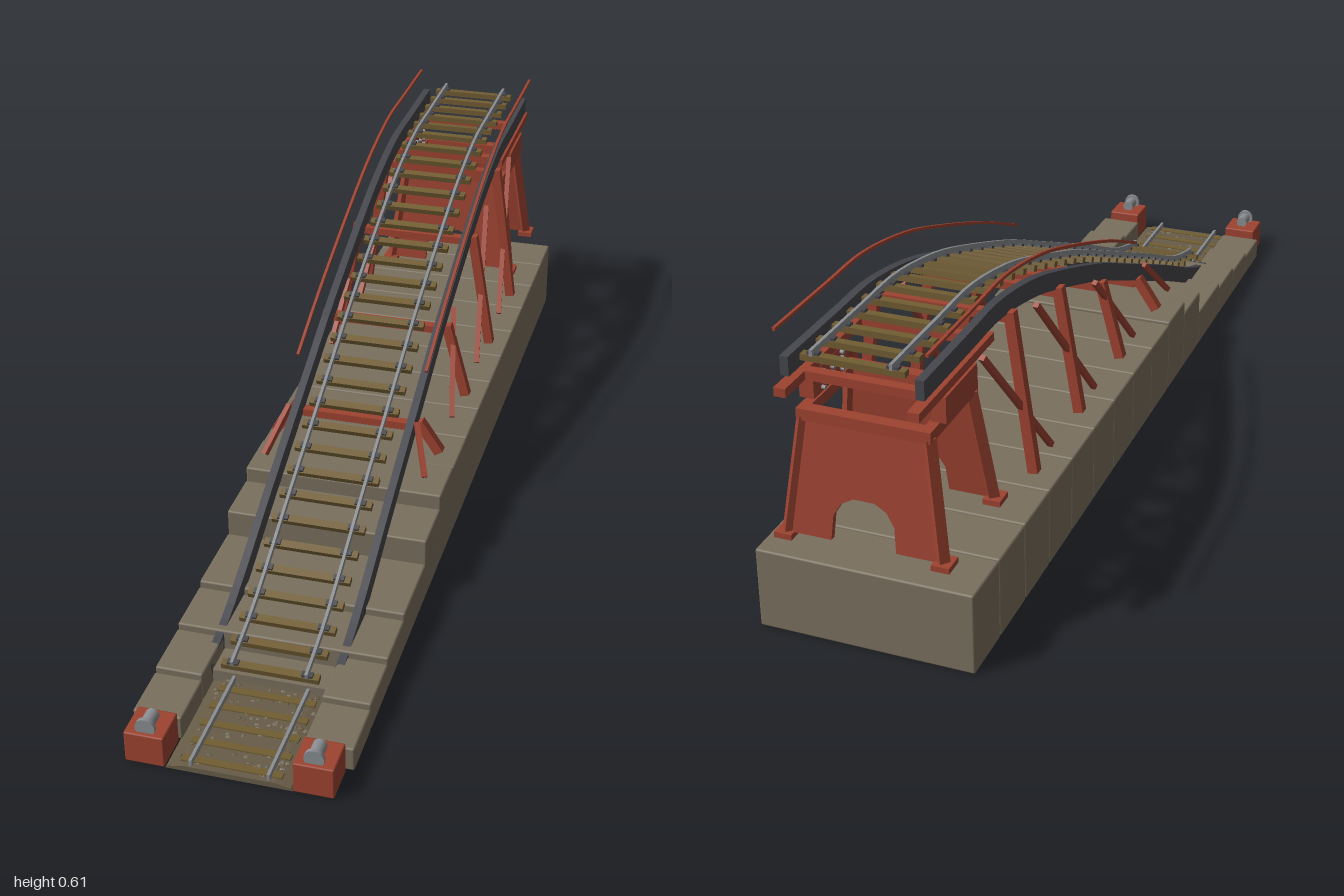
import * as THREE from 'three';
import { RoundedBoxGeometry } from 'three/addons/geometries/RoundedBoxGeometry.js';

export function createModel() {
  const model = new THREE.Group();
  const mat = (name, color) => {
    const m = new THREE.MeshStandardMaterial({ color });
    m.name = name;
    return m;
  };
  const stone = mat('stone', 0x7a705e);
  const red = mat('red oxide steel', 0x9e4331);
  const dark = mat('dark steel', 0x46474d);
  const railGrey = mat('rail grey', 0x8b8e91);
  const wood = mat('timber', 0x715d33);
  const gravel = mat('gravel', 0x675c47);

  const add = (name, geometry, material, x = 0, y = 0, z = 0) => {
    const mesh = new THREE.Mesh(geometry, material);
    mesh.name = name;
    mesh.position.set(x, y, z);
    model.add(mesh);
    return mesh;
  };
  // Box given by its limits on each axis
  const box = (name, m, x0, x1, y0, y1, z0, z1, r = 0) => {
    const [w, h, d] = [x1 - x0, y1 - y0, z1 - z0];
    const g = r ? new RoundedBoxGeometry(w, h, d, 1, r) : new THREE.BoxGeometry(w, h, d);
    add(name, g, m, (x0 + x1) / 2, (y0 + y1) / 2, (z0 + z1) / 2);
  };
  // Square bar between two points
  const bar = (name, m, a, b, w) => {
    const p = new THREE.Vector3(...a), q = new THREE.Vector3(...b);
    const mesh = add(name, new THREE.BoxGeometry(w, w, p.distanceTo(q)), m);
    mesh.position.copy(p).add(q).multiplyScalar(0.5);
    mesh.lookAt(q);
  };

  // Side profile of the ramp: x holds z, y holds height of the girder centre
  const path = new THREE.SplineCurve([
    [0.755, 0.03], [0.65, 0.056], [0.55, 0.094], [0.38, 0.172], [0.2, 0.251], [0.06, 0.312],
    [-0.11, 0.385], [-0.36, 0.475], [-0.5, 0.516], [-0.65, 0.542], [-0.78, 0.543], [-0.975, 0.543],
  ].map(([z, y]) => new THREE.Vector2(z, y)));
  // Curve point moved along its upward normal, with its slope angle
  const at = (u, off) => {
    const p = path.getPointAt(u), t = path.getTangentAt(u);
    return { z: p.x + t.y * off, y: p.y - t.x * off, angle: Math.atan2(t.y, -t.x) };
  };
  // Strip following the ramp, extruded across x
  const strip = (name, m, x, width, off, height, u0 = 0) => {
    const n = 48, top = [], bottom = [];
    for (let i = 0; i <= n; i++) {
      const u = u0 + (1 - u0) * i / n;
      const a = at(u, off + height / 2), b = at(u, off - height / 2);
      top.push(new THREE.Vector2(a.z, a.y));
      bottom.unshift(new THREE.Vector2(b.z, b.y));
    }
    const g = new THREE.ExtrudeGeometry(new THREE.Shape([...top, ...bottom]), { depth: width, bevelEnabled: false });
    g.rotateY(-Math.PI / 2);
    g.translate(width / 2, 0, 0);
    add(name, g, m, x);
  };

  // Stepped stone foundation; the lowest blocks leave room for the track
  const edges = [0.92, 0.805, 0.682, 0.557, 0.383, 0.26, 0.142, 0.017, -0.108, -0.233, -0.358, -0.483, -0.608, -0.732, -0.855, -0.975];
  const heights = [0.05, 0.06, 0.071, 0.083, 0.136, 0.166];
  for (let i = 0; i < edges.length - 1; i++) {
    const h = heights[i] ?? 0.162, z1 = edges[i] - 0.001, z0 = edges[i + 1] + 0.001;
    if (i < 2) {
      for (const s of [-1, 1]) box('sideStone', stone, s * 0.163 - 0.047, s * 0.163 + 0.047, 0, h, z0, z1, 0.004);
    } else box('stoneBlock', stone, -0.21, 0.21, 0, h, z0, z1, 0.004);
  }
  box('rampFootStone', stone, -0.12, 0.12, 0, 0.03, 0.68, 0.75);

  // Gravel bed at ground level
  const bed = new THREE.ExtrudeGeometry(new THREE.Shape([
    [-0.12, 0], [0.12, 0], [0.115, 0.005], [0.085, 0.011], [-0.085, 0.011], [-0.115, 0.005],
  ].map((p) => new THREE.Vector2(...p))), { depth: 0.255, bevelEnabled: false });
  add('gravelBed', bed, gravel, 0, 0, 0.742);
  let seed = 7;
  const rnd = () => (seed = (seed * 16807) % 2147483647) / 2147483647;
  const pebbles = new THREE.IcosahedronGeometry(0.004, 0);
  for (let i = 0; i < 130; i++) {
    const pebble = add('pebble', pebbles, i % 3 ? stone : gravel, (rnd() - 0.5) * 0.2, 0.0105, 0.75 + rnd() * 0.24);
    pebble.scale.set(0.7 + rnd(), 0.6, 0.7 + rnd());
  }
  for (let i = 0; i < 5; i++) box('groundSleeper', wood, -0.095, 0.095, 0.004, 0.0135, 0.768 + i * 0.05, 0.784 + i * 0.05);

  // Sleepers with rail chairs on the ramp
  const count = 32;
  for (let i = 0; i < count; i++) {
    const p = at(0.005 + 0.988 * i / (count - 1), 0.02);
    const sleeper = add('sleeper', new THREE.BoxGeometry(0.192, 0.012, 0.016), wood, 0, p.y, p.z);
    sleeper.rotation.x = p.angle;
    for (const s of [-1, 1]) {
      const chair = new THREE.Mesh(new THREE.BoxGeometry(0.022, 0.006, 0.012), dark);
      chair.name = 'railChair';
      chair.position.set(s * 0.073, 0.008, 0);
      sleeper.add(chair);
    }
  }

  // Arched end panels of the portal tower
  const panel = new THREE.Shape([[-0.142, 0.207], [-0.062, 0.207], [-0.058, 0.255], [-0.043, 0.28], [-0.02, 0.293],
    [0.02, 0.293], [0.043, 0.28], [0.058, 0.255], [0.062, 0.207], [0.142, 0.207], [0.114, 0.43], [-0.114, 0.43],
  ].map((p) => new THREE.Vector2(...p)));
  for (const [top, foot] of [[-0.752, -0.728], [-0.932, -0.956]]) {
    const g = new THREE.ExtrudeGeometry(panel, { depth: 0.012, bevelEnabled: false });
    // Lean the panel along the legs
    const pos = g.attributes.position;
    for (let i = 0; i < pos.count; i++) {
      const k = (pos.getY(i) - 0.205) / 0.23;
      pos.setZ(i, pos.getZ(i) - 0.006 + foot + (top - foot) * k);
    }
    g.computeVertexNormals();
    add('portalPanel', g, red);
    box('portalHead', red, -0.12, 0.12, 0.425, 0.447, top - 0.012, top + 0.012);
    for (const s of [-1, 1]) {
      bar('portalLeg', red, [s * 0.117, 0.43, top], [s * 0.147, 0.205, foot], 0.02);
      box('portalFoot', red, s * 0.15 - 0.017, s * 0.15 + 0.017, 0.198, 0.209, foot - 0.02, foot + 0.02);
    }
  }
  for (const z of [-0.7, -0.92]) box('towerCrossbeam', red, -0.125, 0.125, 0.497, 0.514, z - 0.01, z + 0.01);

  // Crossbars under the girders at each trestle
  const bents = [[0.14, 0.252], [-0.108, 0.352], [-0.358, 0.45], [-0.606, 0.51]];
  for (const [z, y] of bents) box('trestleCrossbar', red, -0.13, 0.13, y - 0.008, y + 0.008, z - 0.01, z + 0.01);

  for (const s of [-1, 1]) {
    strip('girder', dark, s * 0.124, 0.016, 0, 0.037);
    strip('rail', railGrey, s * 0.073, 0.006, 0.033, 0.012);
    strip('handrail', red, s * 0.139, 0.006, 0.066, 0.006, 0.4);
    box('groundRail', railGrey, s * 0.073 - 0.003, s * 0.073 + 0.003, 0.012, 0.025, 0.75, 0.995);

    // Splayed trestle posts and raking struts
    for (const [z, y] of bents) {
      bar('trestlePost', red, [s * 0.134, y + 0.012, z], [s * 0.179, 0.197, z], 0.02);
      const rise = Math.min(y + 0.03, 0.495) - 0.197;
      bar('rakingStrut', red, [s * 0.137, 0.197 + rise, z + 0.105 - rise * 0.82], [s * 0.172, 0.197, z + 0.105], 0.011);
    }

    // Tower longitudinal beam, bearing and bolts
    box('towerBeam', red, s * 0.122 - 0.011, s * 0.122 + 0.011, 0.497, 0.514, -1, -0.68);
    box('bearingBlock', red, s * 0.124 - 0.014, s * 0.124 + 0.014, 0.447, 0.497, -0.905, -0.77);
    box('portalSideHead', red, s * 0.116 - 0.01, s * 0.116 + 0.01, 0.425, 0.447, -0.944, -0.74);
    for (let i = 0; i < 12; i++) {
      const bolt = add('bearingBolt', new THREE.CylinderGeometry(0.004, 0.004, 0.008, 8), railGrey,
        s * 0.107, 0.456 + (i % 4) * 0.011, -0.8 - Math.floor(i / 4) * 0.037);
      bolt.rotation.z = Math.PI / 2;
    }

    // Bumper stops at the entrance
    box('bumperBase', red, s * 0.158 - 0.038, s * 0.158 + 0.038, 0.002, 0.067, 0.925, 1, 0.003);
    const disc = add('bumperDisc', new THREE.CylinderGeometry(0.019, 0.019, 0.008, 20), railGrey, s * 0.157, 0.077, 0.988);
    disc.rotation.x = Math.PI / 2;
    const stem = add('bumperStem', new THREE.CylinderGeometry(0.013, 0.013, 0.035, 16), railGrey, s * 0.157, 0.077, 0.968);
    stem.rotation.x = Math.PI / 2;
  }
  return model;
}
